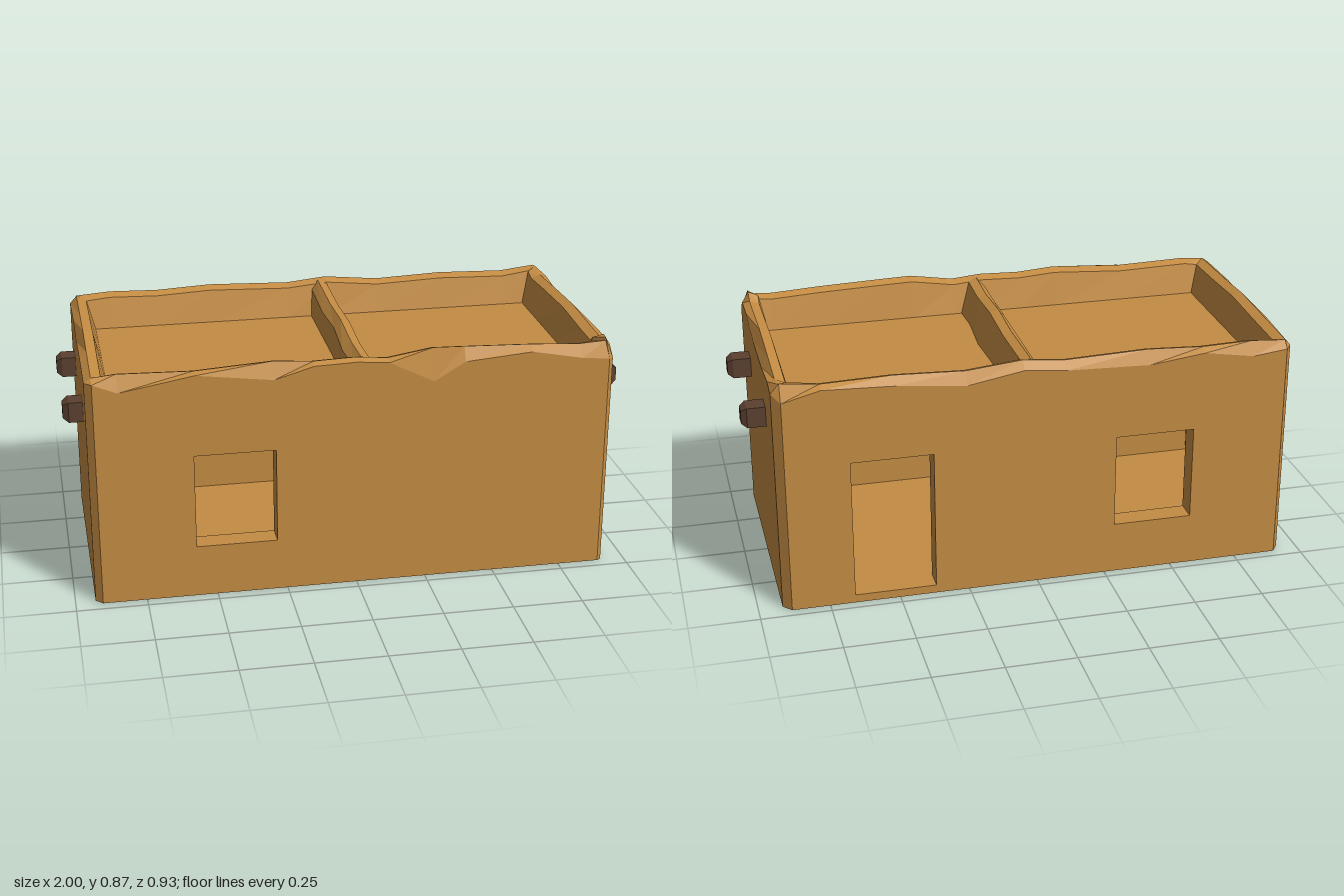
import * as THREE from 'three';

const X0 = -0.93, X1 = 0.915, Z0 = -0.465, Z1 = 0.46;
const WALL_TOP = 0.74, ROOF = 0.72, CEILING = 0.64, FLOOR = 0.03, THICK = 0.08;

// Skin a list of cross-sections (equal point counts) with quads
function loft(rings, closed) {
  const n = rings[0].length, pos = [], index = [];
  rings.forEach(r => r.forEach(p => pos.push(...p)));
  for (let j = 0; j < rings.length - 1; j++) {
    for (let i = 0; i < (closed ? n : n - 1); i++) {
      const k = (i + 1) % n;
      const a = j * n + i, b = j * n + k, c = b + n, d = a + n;
      index.push(a, b, c, a, c, d);
    }
  }
  const g = new THREE.BufferGeometry();
  g.setAttribute('position', new THREE.Float32BufferAttribute(pos, 3));
  g.setIndex(index);
  const flat = g.toNonIndexed();
  flat.computeVertexNormals();
  return flat;
}

function rectPath(x0, x1, y0, y1, Type) {
  return new Type([[x0, y0], [x1, y0], [x1, y1], [x0, y1]].map(p => new THREE.Vector2(...p)));
}

export function createModel() {
  const adobe = new THREE.MeshStandardMaterial({ color: 0xc48c43, flatShading: true });
  adobe.name = 'adobe clay';
  const wood = new THREE.MeshStandardMaterial({ color: 0x5c4030, flatShading: true });
  wood.name = 'dark wood';

  const house = new THREE.Group();
  house.name = 'adobeHouse';
  const add = (name, geometry, material = adobe) => {
    const mesh = new THREE.Mesh(geometry, material);
    mesh.name = name;
    house.add(mesh);
    return mesh;
  };
  const block = (name, x0, x1, y0, y1, z0, z1) =>
    add(name, new THREE.BoxGeometry(x1 - x0, y1 - y0, z1 - z0))
      .position.set((x0 + x1) / 2, (y0 + y1) / 2, (z0 + z1) / 2);

  // Long walls with their openings: [x0, x1, y0, y1]
  const windowHole = [-0.57, -0.285, 0.19, 0.535];
  const doorHole = [0.37, 0.66, FLOOR, 0.545];
  const longWall = (name, x0, x1, z, holes) => {
    const shape = rectPath(x0, x1, 0, WALL_TOP, THREE.Shape);
    holes.forEach(h => shape.holes.push(rectPath(...h, THREE.Path)));
    add(name, new THREE.ExtrudeGeometry(shape, { depth: THICK, bevelEnabled: false })).position.z = z;
  };
  longWall('frontWall', -0.905, 0.9, Z1 - THICK, [windowHole]);
  longWall('backWall', -0.905, 0.885, Z0, [windowHole, doorHole]);

  // Short walls with chamfered corners, drawn in plan and raised
  const shortWall = (name, plan) => {
    const shape = new THREE.Shape(plan.map(([x, z]) => new THREE.Vector2(x, -z)));
    const g = new THREE.ExtrudeGeometry(shape, { depth: WALL_TOP, bevelEnabled: false });
    add(name, g.rotateX(-Math.PI / 2));
  };
  const inZ0 = Z0 + THICK, inZ1 = Z1 - THICK;
  shortWall('rightWall', [[-0.905, Z1], [X0, 0.435], [X0, -0.43], [-0.905, Z0],
    [X0 + THICK, inZ0], [X0 + THICK, inZ1]]);
  shortWall('leftWall', [[0.9, Z1], [X1, 0.45], [X1, -0.433], [0.885, Z0],
    [X1 - THICK, inZ0], [X1 - THICK, inZ1]]);

  // Floor and sunken roof
  block('floor', -0.9, 0.88, 0, FLOOR, -0.43, 0.43);
  block('roof', -0.9, 0.88, CEILING, ROOF, -0.43, 0.43);

  // Worn parapet: [position along side, bevel start height, crest height]
  const front = [[-0.905, 0.82, 0.837], [-0.82, 0.785, 0.845], [-0.56, 0.83, 0.838], [-0.29, 0.795, 0.855],
    [-0.15, 0.835, 0.845], [0, 0.84, 0.85], [0.11, 0.83, 0.84], [0.27, 0.75, 0.866],
    [0.38, 0.815, 0.863], [0.62, 0.835, 0.855], [0.8, 0.8, 0.845], [0.9, 0.79, 0.85]];
  const left = [[0.45, 0.79, 0.862], [0.41, 0.825, 0.865], [0.37, 0.832, 0.843], [0.27, 0.834, 0.845],
    [0.05, 0.81, 0.856], [-0.18, 0.81, 0.847], [-0.36, 0.83, 0.837], [-0.433, 0.815, 0.85]];
  const back = [[0.885, 0.79, 0.853], [0.75, 0.825, 0.838], [0.5, 0.815, 0.845], [0.25, 0.79, 0.835],
    [0.05, 0.825, 0.855], [-0.1, 0.81, 0.84], [-0.4, 0.8, 0.85], [-0.6, 0.825, 0.84],
    [-0.78, 0.795, 0.845], [-0.905, 0.81, 0.836]];
  const right = [[-0.43, 0.81, 0.838], [-0.2, 0.825, 0.845], [0, 0.81, 0.853], [0.2, 0.825, 0.843],
    [0.435, 0.82, 0.837]];
  const edge = [
    ...front.map(([t, a, b]) => [t, Z1, a, b]),
    ...left.map(([t, a, b]) => [X1, t, a, b]),
    ...back.map(([t, a, b]) => [t, Z0, a, b]),
    ...right.map(([t, a, b]) => [X0, t, a, b]),
  ];
  const ring = (inset, height) => edge.map(([x, z, a, b]) => [
    THREE.MathUtils.clamp(x, X0 + inset, X1 - inset), height(a, b),
    THREE.MathUtils.clamp(z, Z0 + inset, Z1 - inset)]);
  add('parapet', loft([
    ring(0, () => WALL_TOP), ring(0, a => a), ring(0.025, (a, b) => b),
    ring(0.06, (a, b) => b - 0.012), ring(0.09, () => ROOF - 0.005),
  ], true));

  // Ridge dividing the roof into two
  const ridge = [[0.42, 0.0], [0.25, -0.008], [0.05, 0.006], [-0.15, -0.004], [-0.42, 0.004]];
  add('roofRidge', loft(ridge.map(([z, w]) => [
    [-0.015, ROOF - 0.005, z], [-0.01 + w * 0.5, 0.815 + w, z], [0.018, 0.845 + w, z],
    [0.05, 0.835 + w, z], [0.09 + w, ROOF - 0.005, z]]), false));

  // Roof beam ends poking out of the short walls
  const beam = new THREE.ExtrudeGeometry(rectPath(-0.0235, 0.0235, -0.0235, 0.0235, THREE.Shape),
    { depth: 0.08, bevelThickness: 0.02, bevelSize: 0.013, bevelSegments: 1 });
  for (const side of [-1, 1]) {
    for (const z of [0.235, -0.21]) {
      const mesh = add('beamEnd', beam, wood);
      mesh.rotation.y = side * Math.PI / 2;
      mesh.position.set(side * 0.9, 0.65, z);
    }
  }
  return house;
}
